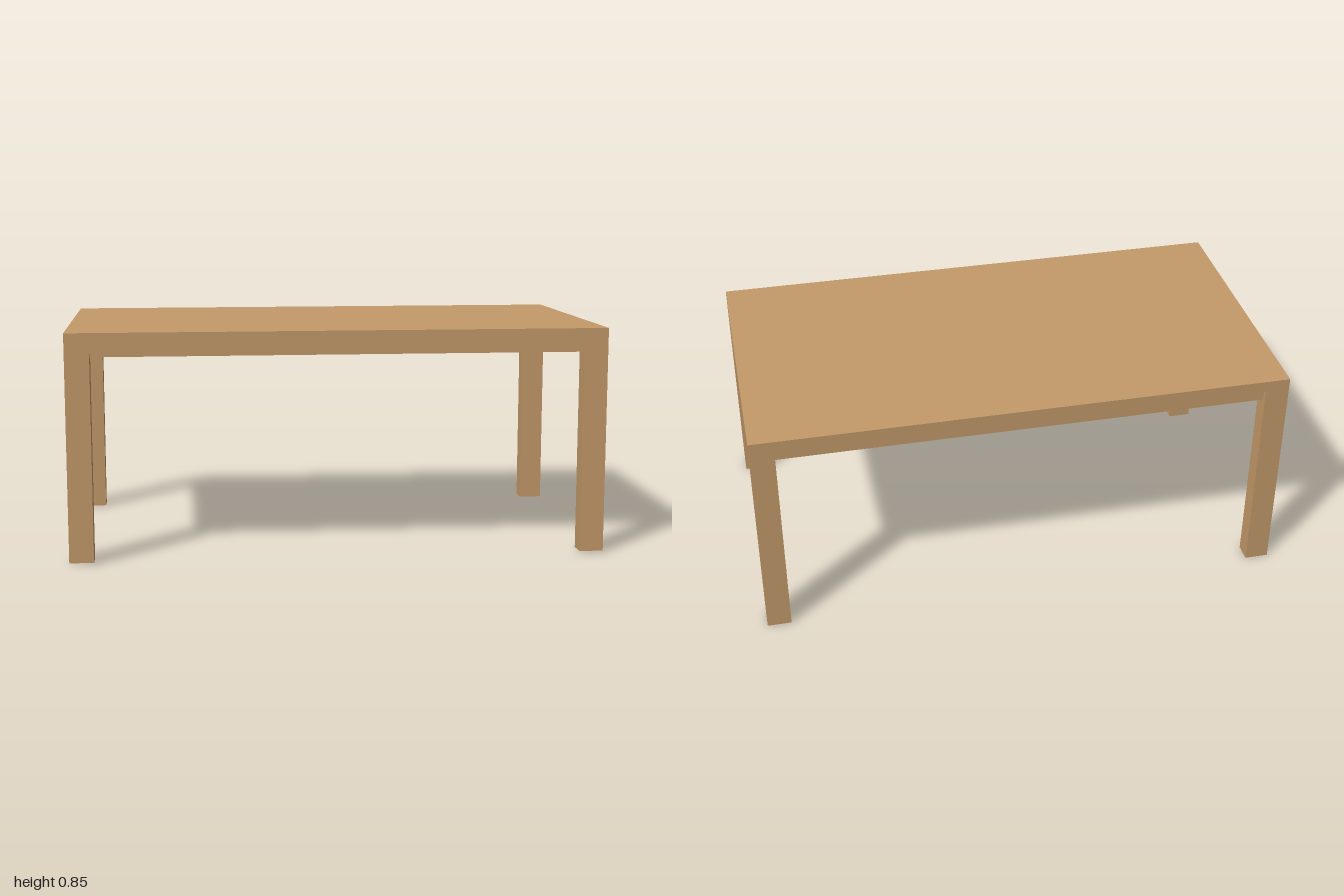
import * as THREE from 'three';

export function createModel() {
  const model = new THREE.Group();
  model.name = 'table';
  const wood = new THREE.MeshStandardMaterial({ color: 0xc49a6a });
  wood.name = 'light wood';

  const length = 1.992, depth = 1.078, height = 0.843;
  const topThickness = 0.044, apronHeight = 0.045;
  const legX = 0.09, legZ = 0.068;
  const underside = height - topThickness;

  const addBox = (name, w, h, d, x, y, z) => {
    const mesh = new THREE.Mesh(new THREE.BoxGeometry(w, h, d), wood);
    mesh.name = name;
    mesh.position.set(x, y, z);
    model.add(mesh);
  };

  // Slab flush with the outer faces of the legs
  addBox('tabletop', length, topThickness, depth, 0, height - topThickness / 2, 0);

  // Four rectangular legs
  for (const sx of [-1, 1]) {
    for (const sz of [-1, 1]) {
      const name = (sz > 0 ? 'front' : 'back') + (sx > 0 ? 'Left' : 'Right') + 'Leg';
      addBox(name, legX, underside, legZ,
        sx * (length - legX) / 2, underside / 2, sz * (depth - legZ) / 2);
    }
  }

  // Apron rails, set back from the edge between the legs
  const apronY = underside - apronHeight / 2;
  for (const s of [-1, 1]) {
    addBox(s > 0 ? 'frontApron' : 'backApron', length - 2 * legX, apronHeight, legZ / 2,
      0, apronY, s * (depth - legZ) / 2);
    addBox(s > 0 ? 'leftApron' : 'rightApron', legX / 2, apronHeight, depth - 2 * legZ,
      s * (length - legX) / 2, apronY, 0);
  }

  // The table stands very slightly askew
  model.rotation.set(-0.005, 0.006, 0);
  model.position.set(0, 0.003, 0.002);
  return model;
}
